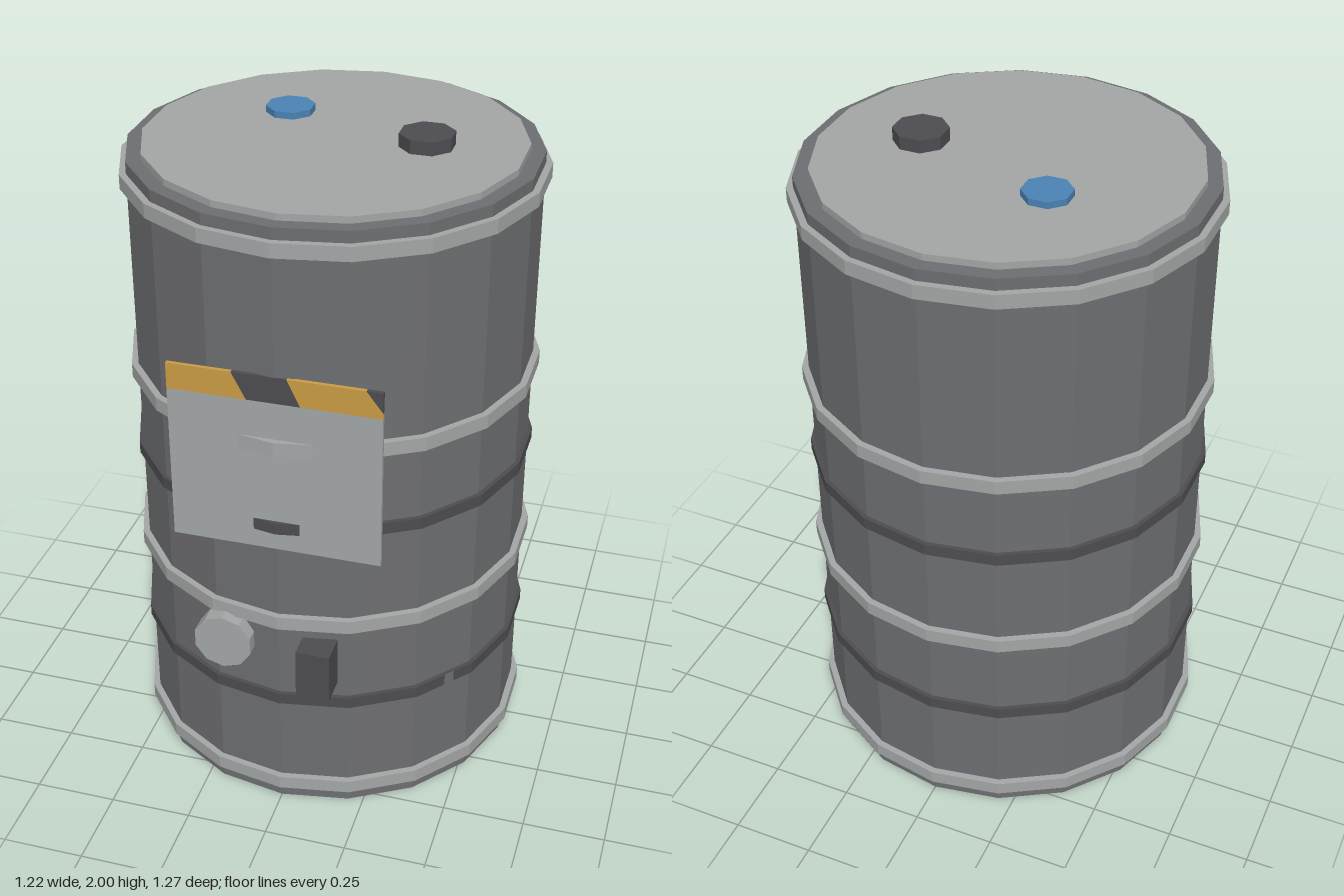
import * as THREE from 'three';

const mat = (name, color) => {
  const m = new THREE.MeshStandardMaterial({ color, flatShading: true });
  m.name = name;
  return m;
};

export function createModel() {
  const steel = mat('darkSteel', 0x6d6e71);
  const pale = mat('paleGrey', 0xa3a6a6);
  const black = mat('charcoal', 0x4d4c50);
  const blue = mat('blue', 0x4a82b4);
  const yellow = mat('hazardYellow', 0xc99c44);

  const model = new THREE.Group();
  model.name = 'barrel';
  const CZ = -0.018; // barrel axis
  const add = (name, geo, material, x, y, z, parent = model) => {
    const mesh = new THREE.Mesh(geo, material);
    mesh.name = name;
    mesh.position.set(x, y, z);
    parent.add(mesh);
    return mesh;
  };
  // Upright cylinder between two heights
  const drum = (name, r, y0, y1, material, sides = 18, x = 0, z = CZ) =>
    add(name, new THREE.CylinderGeometry(r, r, y1 - y0, sides), material, x, (y0 + y1) / 2, z);

  // Shell and lid
  drum('shell', 0.597, 0, 1.94, steel);
  drum('lid', 0.553, 1.94, 1.96, pale);

  // Raised hoops
  for (const y of [0.045, 0.665, 1.263, 1.862]) drum('hoop', 0.617, y, y + 0.043, pale);
  for (const y of [0.379, 0.998]) drum('darkHoop', 0.61, y, y + 0.037, black);

  // Bungs on the lid
  drum('blueBung', 0.073, 1.96, 1.98, blue, 8, -0.178, -0.172).rotation.y = Math.PI / 8;
  drum('darkBung', 0.081, 1.96, 2.0, black, 8, 0.267, -0.02).rotation.y = Math.PI / 8;

  // Worn patch on the lower dark hoop
  const chip = new THREE.Group();
  chip.name = 'wornPatch';
  chip.position.z = CZ;
  chip.rotation.y = THREE.MathUtils.degToRad(50);
  add('patch', new THREE.BoxGeometry(0.034, 0.037, 0.004), steel, 0.015, 0.3975, 0.601, chip);
  model.add(chip);

  // Label plate with a hazard strip along its top
  const zBack = 0.568, depth = 0.012;
  add('label', new THREE.BoxGeometry(0.615, 0.48, depth), pale, -0.0025, 1.18, zBack + depth / 2);
  const stripe = (name, points, material) => {
    const shape = new THREE.Shape(points.map(([x, y]) => new THREE.Vector2(x, y)));
    add(name, new THREE.ExtrudeGeometry(shape, { depth, bevelEnabled: false }), material, 0, 0, zBack);
  };
  const b = 1.42, t = 1.5;
  stripe('yellowStripe', [[-0.31, b], [-0.08, b], [-0.122, t], [-0.31, t]], yellow);
  stripe('darkStripe', [[-0.08, b], [0.074, b], [0.036, t], [-0.122, t]], black);
  stripe('yellowStripe', [[0.074, b], [0.305, b], [0.305, 1.438], [0.258, t], [0.036, t]], yellow);
  stripe('darkStripe', [[0.305, 1.438], [0.305, t], [0.258, t]], black);

  // Round gauge and valve box on the lower front
  add('gauge', new THREE.CylinderGeometry(0.09, 0.09, 0.06, 10), pale, -0.168, 0.586, 0.576).rotation.x = Math.PI / 2;
  add('valveBox', new THREE.BoxGeometry(0.102, 0.16, 0.09), black, 0.12, 0.546, 0.595);

  return model;
}
